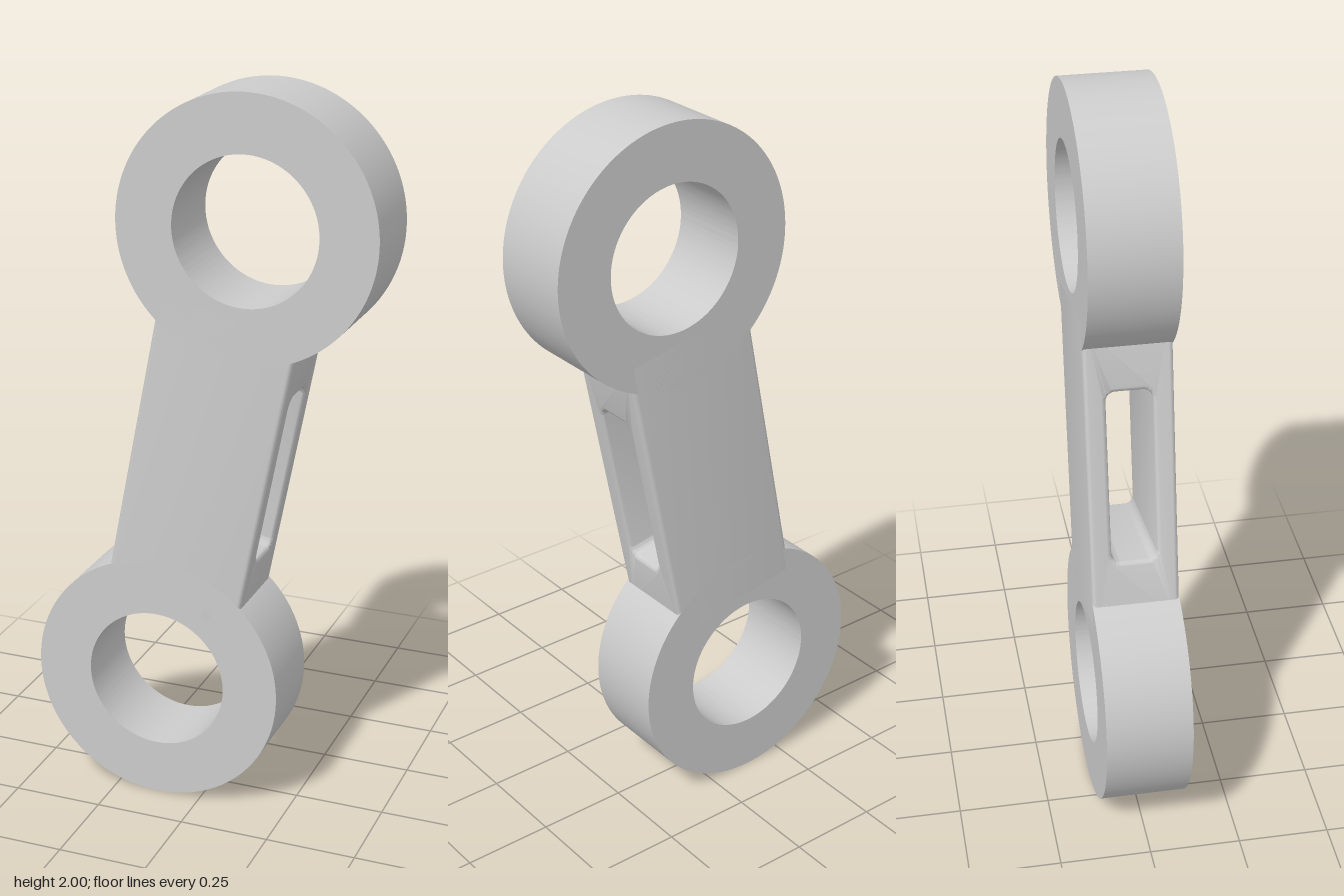
import * as THREE from 'three';
import { toCreasedNormals } from 'three/addons/utils/BufferGeometryUtils.js';

const DEPTH = 0.235;                    // thickness along z
const EYE = { x: 0.127, y: 0.647 };     // eye offset from the link's middle
const OUTER = 0.353, INNER = 0.198;
const BAR_WIDTH = 0.388, BAR_LENGTH = 0.86, FILLET = 0.012;

// Adds a centred rounded rectangle to a Shape or Path
function roundedRect(path, w, h, r) {
  const x = w / 2 - r, y = h / 2 - r;
  path.absarc(x, y, r, 0, Math.PI / 2);
  path.absarc(-x, y, r, Math.PI / 2, Math.PI);
  path.absarc(-x, -y, r, Math.PI, Math.PI * 1.5);
  path.absarc(x, -y, r, Math.PI * 1.5, Math.PI * 2);
  path.closePath();
  return path;
}

export function createModel() {
  const model = new THREE.Group();
  model.name = 'link';
  const material = new THREE.MeshStandardMaterial({ color: 0xcccccc });

  // Ring eyes at both ends
  const ring = new THREE.Shape().absarc(0, 0, OUTER, 0, Math.PI * 2);
  ring.holes.push(new THREE.Path().absarc(0, 0, INNER, 0, Math.PI * 2, true));
  const ringGeometry = toCreasedNormals(
    new THREE.ExtrudeGeometry(ring, { depth: DEPTH, bevelEnabled: false, curveSegments: 96 })
      .translate(0, 0, -DEPTH / 2), 0.6);
  for (const [name, s] of [['upperEye', 1], ['lowerEye', -1]]) {
    const eye = new THREE.Mesh(ringGeometry, material);
    eye.name = name;
    eye.position.set(s * EYE.x, 1 + s * EYE.y, 0);
    model.add(eye);
  }

  // Slanted bar with a slot running through it sideways and softened edges
  const section = new THREE.Shape();
  const a = DEPTH / 2, b = BAR_LENGTH / 2;
  section.moveTo(-a, -b).lineTo(a, -b).lineTo(a, b).lineTo(-a, b).closePath();
  section.holes.push(roundedRect(new THREE.Path(), 0.122, 0.48, 0.025));
  const barGeometry = new THREE.ExtrudeGeometry(section, {
    depth: BAR_WIDTH - 2 * FILLET,
    bevelThickness: FILLET, bevelSize: FILLET, bevelOffset: -FILLET,
    bevelSegments: 4, curveSegments: 8,
  });
  barGeometry.translate(0, 0, -BAR_WIDTH / 2 + FILLET).rotateY(Math.PI / 2);
  const bar = new THREE.Mesh(toCreasedNormals(barGeometry, 0.6), material);
  bar.name = 'slottedBar';
  bar.position.y = 1;
  bar.rotation.z = -Math.atan2(EYE.x, EYE.y);
  model.add(bar);

  return model;
}
